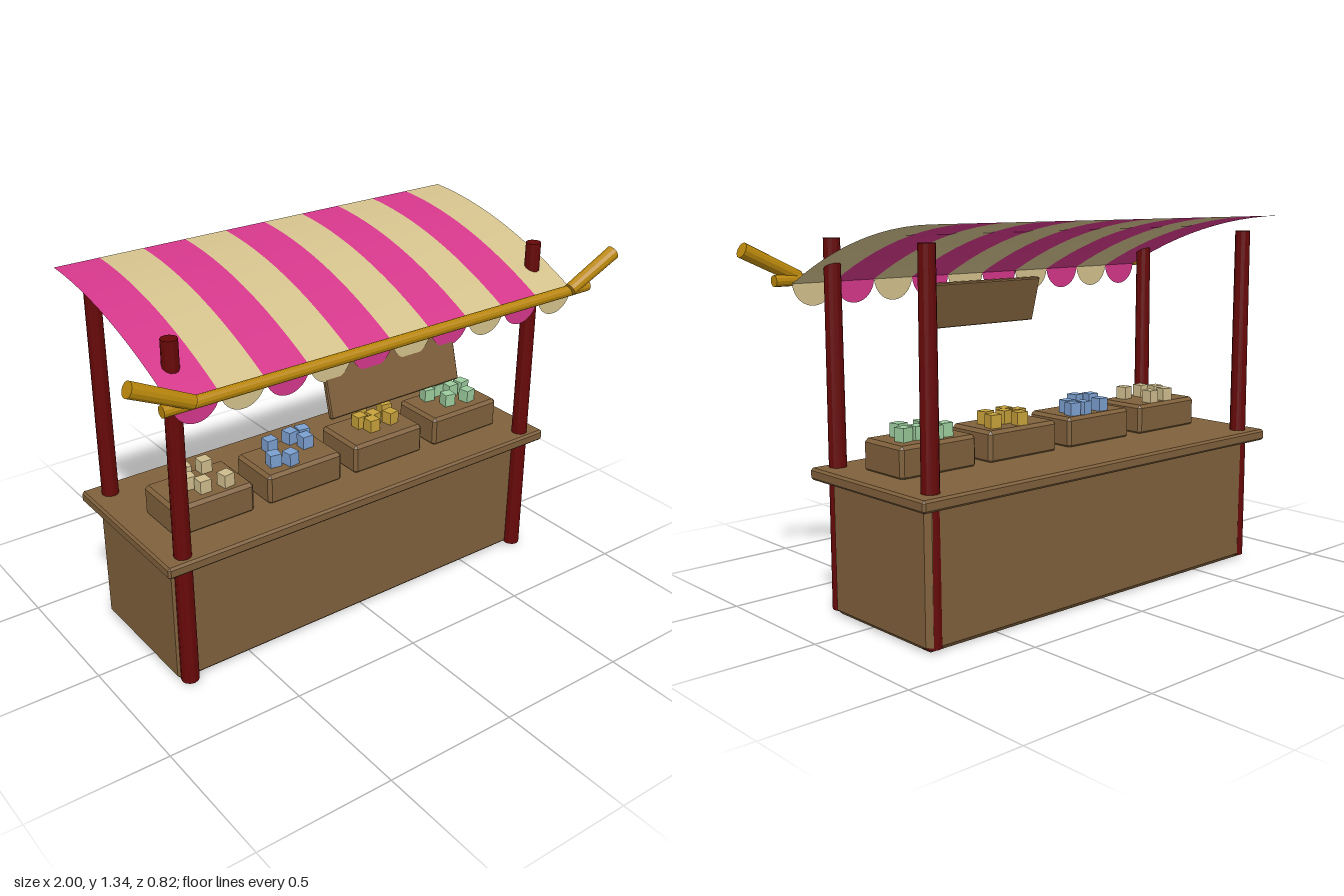
import * as THREE from 'three';
import { ConvexGeometry } from 'three/addons/geometries/ConvexGeometry.js';

const mat = (name, color, side = THREE.FrontSide) => {
  const m = new THREE.MeshStandardMaterial({ color, side });
  m.name = name;
  return m;
};

// Box with chamfered edges, flat faced
function chamferBox(w, h, d, c) {
  const pts = [];
  for (const x of [-1, 1]) for (const y of [-1, 1]) for (const z of [-1, 1]) {
    const p = [x * w / 2, y * h / 2, z * d / 2];
    const s = [x * c, y * c, z * c];
    for (let k = 0; k < 3; k++) {
      pts.push(new THREE.Vector3(...p.map((v, i) => (i === k ? v : v - s[i]))));
    }
  }
  return new ConvexGeometry(pts);
}

function rod(rTop, rBottom, length) {
  const g = new THREE.CylinderGeometry(rTop, rBottom, length, 12).toNonIndexed();
  g.computeVertexNormals();
  return g;
}

export function createModel() {
  const root = new THREE.Group();
  root.name = 'marketStall';
  const wood = mat('wood', 0x7f603b);
  const postRed = mat('darkRedPost', 0x660808);
  const gold = mat('goldenPole', 0xb8860b);
  const pink = mat('pinkCloth', 0xd4378a, THREE.DoubleSide);
  const cream = mat('creamCloth', 0xd3c18c, THREE.DoubleSide);
  const tanGoods = mat('tanGoods', 0xcdbb8c);
  const blueGoods = mat('blueGoods', 0x7b9fcf);
  const yellowGoods = mat('yellowGoods', 0xc6a03a);
  const greenGoods = mat('greenGoods', 0x9bcb9c);

  const add = (name, geo, material, x = 0, y = 0, z = 0, parent = root) => {
    const m = new THREE.Mesh(geo, material);
    m.name = name;
    m.position.set(x, y, z);
    parent.add(m);
    return m;
  };

  // Counter
  add('counterBody', chamferBox(1.58, 0.48, 0.53, 0.018), wood, 0, 0.245, -0.062);
  add('counterTop', chamferBox(1.67, 0.042, 0.63, 0.008), wood, 0, 0.495, -0.055);

  // Posts
  for (const x of [-0.755, 0.755]) for (const z of [0.21, -0.3]) {
    add(z > 0 ? 'frontPost' : 'backPost', rod(0.028, 0.032, 1.27), postRed, x, 0.65, z);
  }

  // Crates with scattered goods: [x, z] of each item
  const crates = [
    { x: -0.5625, m: tanGoods, items: [[-0.605, 0], [-0.5, -0.07], [-0.49, 0.06], [-0.58, -0.07], [-0.575, 0.05]] },
    { x: -0.1875, m: blueGoods, items: [[-0.28, 0.04], [-0.23, -0.06], [-0.135, -0.07], [-0.085, -0.065], [-0.11, -0.01], [-0.225, 0.065]] },
    { x: 0.1875, m: yellowGoods, items: [[0.18, -0.07], [0.165, 0.03], [0.26, 0.02], [0.285, -0.05], [0.145, -0.02], [0.2, -0.01]] },
    { x: 0.5625, m: greenGoods, items: [[0.5, -0.05], [0.555, -0.065], [0.655, -0.03], [0.535, 0.03], [0.6, -0.03], [0.62, 0.045]] },
  ];
  const cube = new THREE.BoxGeometry(0.043, 0.05, 0.043);
  for (const { x, m, items } of crates) {
    add('crate', chamferBox(0.316, 0.115, 0.214, 0.012), wood, x, 0.568, 0.002);
    items.forEach(([ix, iz], i) => {
      add('goods', cube, m, ix, 0.648, iz).rotation.y = (i % 3 - 1) * 0.15;
    });
  }

  // Arched striped awning with a scalloped front edge
  const awning = new THREE.Group();
  awning.name = 'awning';
  root.add(awning);
  const stripeW = 0.166, frontY = 1.13, frontZ = 0.34;
  for (let i = 0; i < 10; i++) {
    const cloth = i % 2 ? cream : pink;
    const x = (i - 4.5) * stripeW;
    const g = new THREE.PlaneGeometry(stripeW, 1, 1, 12);
    const p = g.attributes.position;
    for (let k = 0; k < p.count; k++) {
      const t = p.getY(k) + 0.5;
      p.setY(k, frontY + 0.213 * t + 0.18 * t * (1 - t));
      p.setZ(k, frontZ - 0.753 * t);
    }
    g.computeVertexNormals();
    add('awningStripe', g, cloth, x, 0, 0, awning);
    const half = new THREE.Shape().absarc(0, 0, stripeW / 2, Math.PI, Math.PI * 2, false);
    add('scallop', new THREE.ShapeGeometry(half, 10), cloth, x, frontY + 0.005, frontZ, awning);
  }

  // Front pole with upswept ends
  add('frontPole', rod(0.02, 0.02, 1.76), gold, 0, 1.14, 0.371).rotation.z = Math.PI / 2;
  for (const s of [-1, 1]) {
    const end = add('poleEnd', rod(0.027, 0.024, 0.23), gold, s * 0.885, 1.197, 0.382);
    end.rotation.z = -s * (Math.PI / 2 - 0.44);
  }

  // Hanging sign board, bottom tilted forward
  add('signBoard', chamferBox(0.54, 0.176, 0.02, 0.004), wood, 0, 1.017, 0.342).rotation.x = -0.27;

  return root;
}
